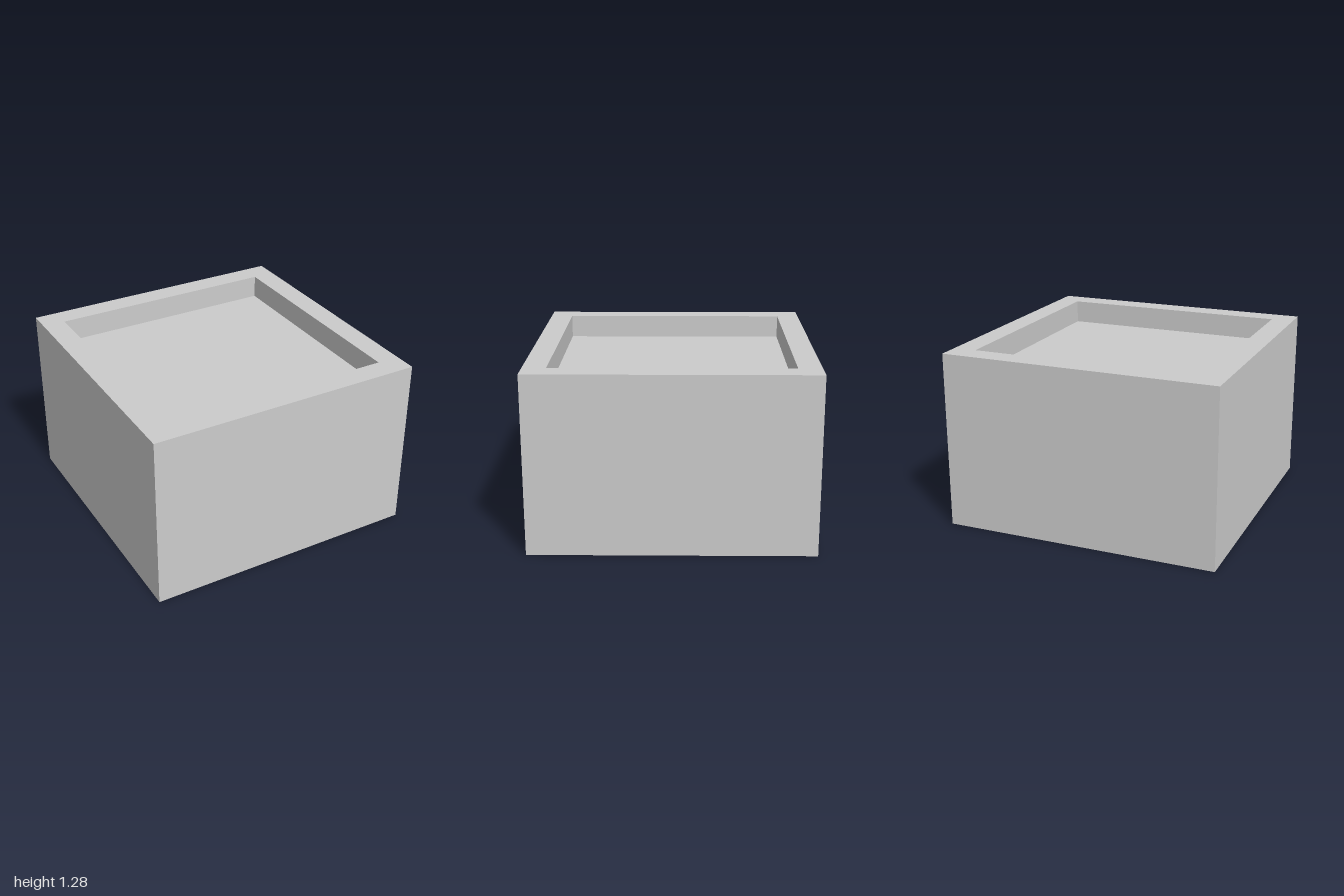
import * as THREE from 'three';

const HALF = 1;          // half width of the block
const HEIGHT = 1.28;
const INNER = 0.835;     // half width of the recess
const FLOOR = 1.11;      // height of the recess floor

export function createModel() {
  const group = new THREE.Group();
  group.name = 'squarePlanter';
  const material = new THREE.MeshStandardMaterial({ color: 0xcccccc, flatShading: true });

  // Square shell: base, outer walls, flat rim and inner walls turned in four sides
  const profile = [[0, 0], [HALF, 0], [HALF, HEIGHT], [INNER, HEIGHT], [INNER, FLOOR]]
    .map(([halfWidth, y]) => new THREE.Vector2(halfWidth * Math.SQRT2, y));
  const shell = new THREE.Mesh(new THREE.LatheGeometry(profile, 4, Math.PI / 4), material);
  shell.name = 'shell';
  group.add(shell);

  // Flat floor closing the recess
  const floor = new THREE.Mesh(new THREE.PlaneGeometry(INNER * 2, INNER * 2), material);
  floor.name = 'recessFloor';
  floor.rotation.x = -Math.PI / 2;
  floor.position.y = FLOOR;
  group.add(floor);

  return group;
}
